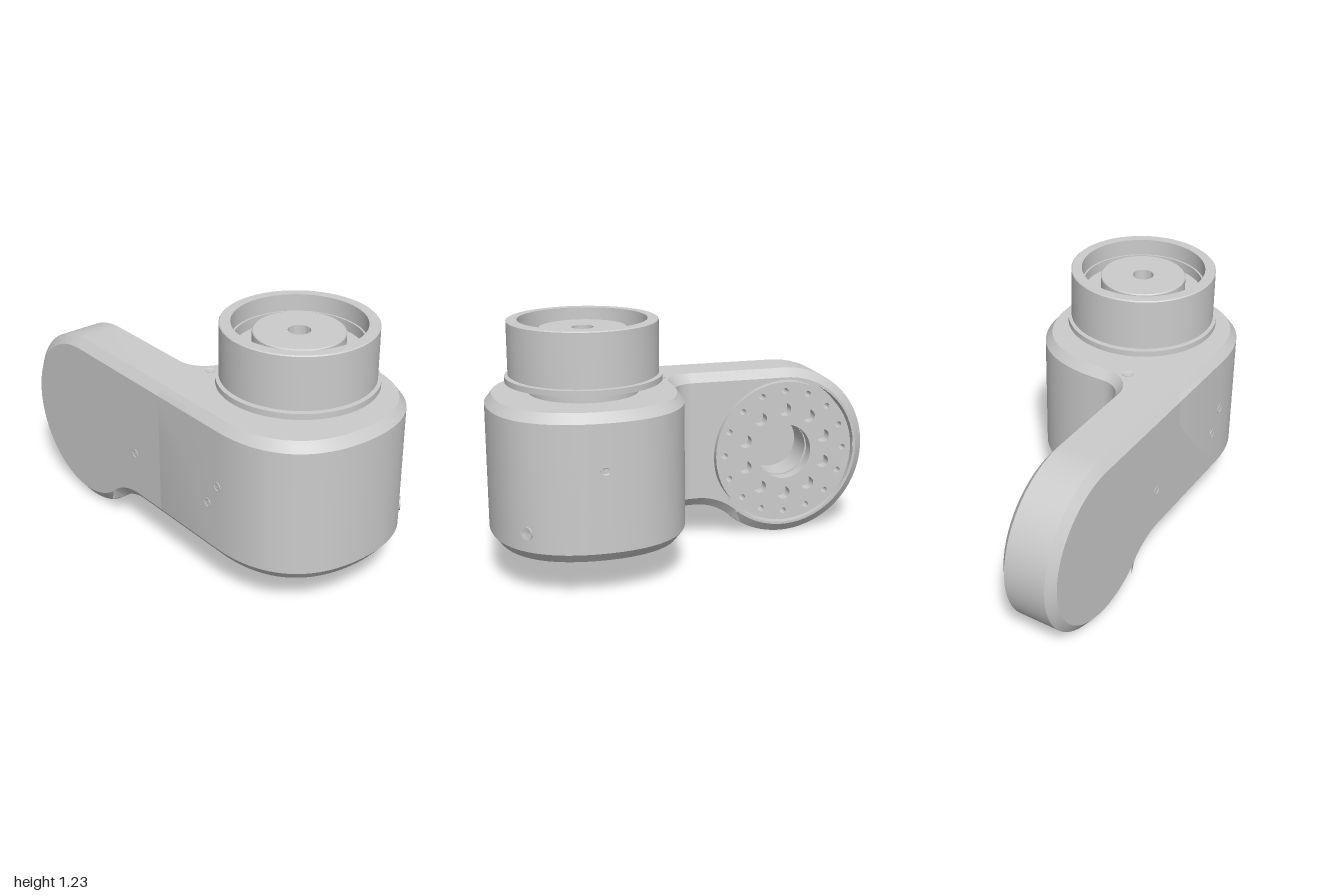
import * as THREE from 'three';
import { toCreasedNormals } from 'three/addons/utils/BufferGeometryUtils.js';

const grey = new THREE.MeshStandardMaterial({ color: 0xcccccc });
const thin = new THREE.MeshStandardMaterial({ color: 0xcccccc, side: THREE.DoubleSide });

const AXIS_X = 0.53;                 // vertical axis of the housing and collar
const JOINT = { x: -0.56, y: 0.4425 }; // centre of the round arm end
const BACK = 0.187, FRONT = 0.468;   // arm thickness in z
const LOW = 0.185, TOP = 0.885;      // housing height
const CH_Y = 0.045, CH_Z = 0.035;    // chamfer legs

function add(parent, name, geometry, material = grey) {
  const mesh = new THREE.Mesh(geometry, material);
  mesh.name = name;
  parent.add(mesh);
  return mesh;
}

function lathe(points, segments = 72) {
  const pts = points.map(([r, y]) => new THREE.Vector2(r, y));
  return toCreasedNormals(new THREE.LatheGeometry(pts, segments), 0.4);
}

function circlePath(x, y, r) {
  return new THREE.Path().absarc(x, y, r, 0, Math.PI * 2, true);
}

// Front silhouette of the arm, optionally inset
function armOutline(inset = 0) {
  const s = new THREE.Shape();
  const a = 0.835;
  s.absarc(JOINT.x, JOINT.y, 0.4425 - inset, Math.PI / 2, Math.PI * 2 - a, false);
  s.absarc(-0.08, -0.09, 0.275 + inset, Math.PI - a, Math.PI / 2, true);
  s.lineTo(0.5 - inset, LOW + inset);
  s.lineTo(0.5 - inset, TOP - inset);
  return s;
}

// Chamfered arm with its back cap removed, so a recess can be set in
function armShell() {
  const g = new THREE.ExtrudeGeometry(armOutline(), {
    depth: FRONT - BACK - 2 * CH_Z, curveSegments: 48,
    bevelThickness: CH_Z, bevelSize: CH_Y, bevelOffset: -CH_Y, bevelSegments: 1,
  });
  g.translate(0, 0, BACK + CH_Z);
  const p = g.attributes.position, kept = [];
  for (let i = 0; i < p.count; i += 3) {
    const tri = [i, i + 1, i + 2];
    if (tri.every(k => p.getZ(k) < BACK + 0.001)) continue;
    for (const k of tri) kept.push(p.getX(k), p.getY(k), p.getZ(k));
  }
  const out = new THREE.BufferGeometry();
  out.setAttribute('position', new THREE.Float32BufferAttribute(kept, 3));
  return toCreasedNormals(out, 0.4);
}

// Plan of the housing: rounded square that blends into the arm
function housingGeometry() {
  const s = new THREE.Shape();
  const k = 0.47 * 0.64, h = 0.47;
  const line = (x, z) => s.lineTo(x, -z);
  const curve = (a, b, c, d, e, f) => s.bezierCurveTo(a, -b, c, -d, e, -f);
  s.moveTo(-0.12, -0.4);
  line(-0.12, BACK);
  line(-0.06, BACK);
  curve(0.006, BACK, 0.06, 0.131, 0.06, 0.065);
  line(0.06, 0);
  curve(0.06, -k, AXIS_X - k, -h, AXIS_X, -h);
  curve(AXIS_X + k, -h, 1, -k, 1, 0);
  curve(1, k, AXIS_X + k, FRONT, AXIS_X, FRONT);
  line(0.1, FRONT);
  const g = new THREE.ExtrudeGeometry(s, {
    depth: TOP - LOW - 2 * CH_Y, curveSegments: 24,
    bevelThickness: CH_Y, bevelSize: CH_Z, bevelOffset: -CH_Z, bevelSegments: 1,
  });
  g.rotateX(-Math.PI / 2);
  g.translate(0, LOW + CH_Y, 0);
  return toCreasedNormals(g, 0.4);
}

// Drilled mounting flange on the back of the arm
function buildFlange() {
  const group = new THREE.Group();
  group.name = 'mountingFlange';
  group.position.set(JOINT.x, JOINT.y, 0);
  const s = new THREE.Shape().absarc(0, 0, 0.372, 0, Math.PI * 2, false);
  s.holes.push(circlePath(0, 0, 0.145));
  const drill = (count, radius, size, phase) => {
    for (let i = 0; i < count; i++) {
      const a = (i + phase) / count * Math.PI * 2;
      s.holes.push(circlePath(radius * Math.cos(a), radius * Math.sin(a), size));
    }
  };
  drill(10, 0.225, 0.034, 0.5);
  drill(16, 0.325, 0.016, 0);
  const plate = new THREE.ExtrudeGeometry(s, { depth: 0.06, bevelEnabled: false, curveSegments: 32 });
  plate.translate(0, 0, 0.192);
  add(group, 'flangePlate', toCreasedNormals(plate, 0.5));

  // recess behind and around the plate, stepping down to a deep central bore
  const recess = lathe([[0.385, BACK], [0.385, 0.275], [0.145, 0.275], [0.145, 0.43], [0.0001, 0.43]]);
  recess.rotateX(Math.PI / 2);
  add(group, 'flangeRecess', recess, thin);
  return group;
}

// Small screw seat lying on a surface
function addScrew(parent, name, pos, normal, r) {
  const m = add(parent, name, lathe([
    [r, -0.004], [r, 0.003], [r * 0.75, 0.003], [r * 0.55, 0.0005], [0.0001, 0.0005],
  ], 24), thin);
  m.position.set(...pos);
  m.quaternion.setFromUnitVectors(new THREE.Vector3(0, 1, 0), new THREE.Vector3(...normal).normalize());
}

export function createModel() {
  const model = new THREE.Group();
  model.name = 'jointLink';

  // Arm and housing
  add(model, 'arm', armShell());
  const backFace = armOutline(CH_Y);
  backFace.holes.push(circlePath(JOINT.x, JOINT.y, 0.385));
  const back = new THREE.ShapeGeometry(backFace, 48);
  back.translate(0, 0, BACK);
  add(model, 'armBackFace', back, thin);
  add(model, 'housing', housingGeometry());
  model.add(buildFlange());

  // Rotary collar: neck, lip, cup and inner hub
  const collar = new THREE.Group();
  collar.name = 'rotaryCollar';
  collar.position.x = AXIS_X;
  model.add(collar);
  add(collar, 'neck', lathe([[0.262, TOP - 0.01], [0.262, 0.95]]), thin);
  add(collar, 'lip', lathe([
    [0.25, 0.94], [0.373, 0.94], [0.373, 0.968], [0.345, 0.968], [0.345, 0.975],
  ]), thin);
  add(collar, 'cup', lathe([
    [0.345, 0.975], [0.357, 0.975], [0.357, 1.227], [0.352, 1.232], [0.305, 1.232],
    [0.305, 1.15], [0.296, 1.15], [0.296, 1.1], [0.2, 1.1],
  ]), thin);
  add(collar, 'hub', lathe([
    [0.21, 1.1], [0.21, 1.185], [0.205, 1.19], [0.052, 1.19], [0.052, 1.1], [0.0001, 1.1],
  ]), thin);
  addScrew(collar, 'collarPin', [-0.16, 1.1, 0.17], [0, 1, 0], 0.026);

  // Screw seats
  for (const [x, y] of [[-0.1, 0.445], [0.46, 0.445], [0.53, 0.56]])
    addScrew(model, 'frontScrew', [x, y, FRONT], [0, 0, 1], 0.024);
  addScrew(model, 'topScrew', [0.115, TOP, 0.17], [0, 1, 0], 0.028);
  addScrew(model, 'bottomScrew', [0.115, LOW, 0.17], [0, -1, 0], 0.028);
  addScrew(model, 'backScrew', [AXIS_X, 0.62, -0.47], [0, 0, -1], 0.024);
  addScrew(model, 'sidePort', [0.878, 0.32, -0.352], [1, 0, -1], 0.032);
  return model;
}
